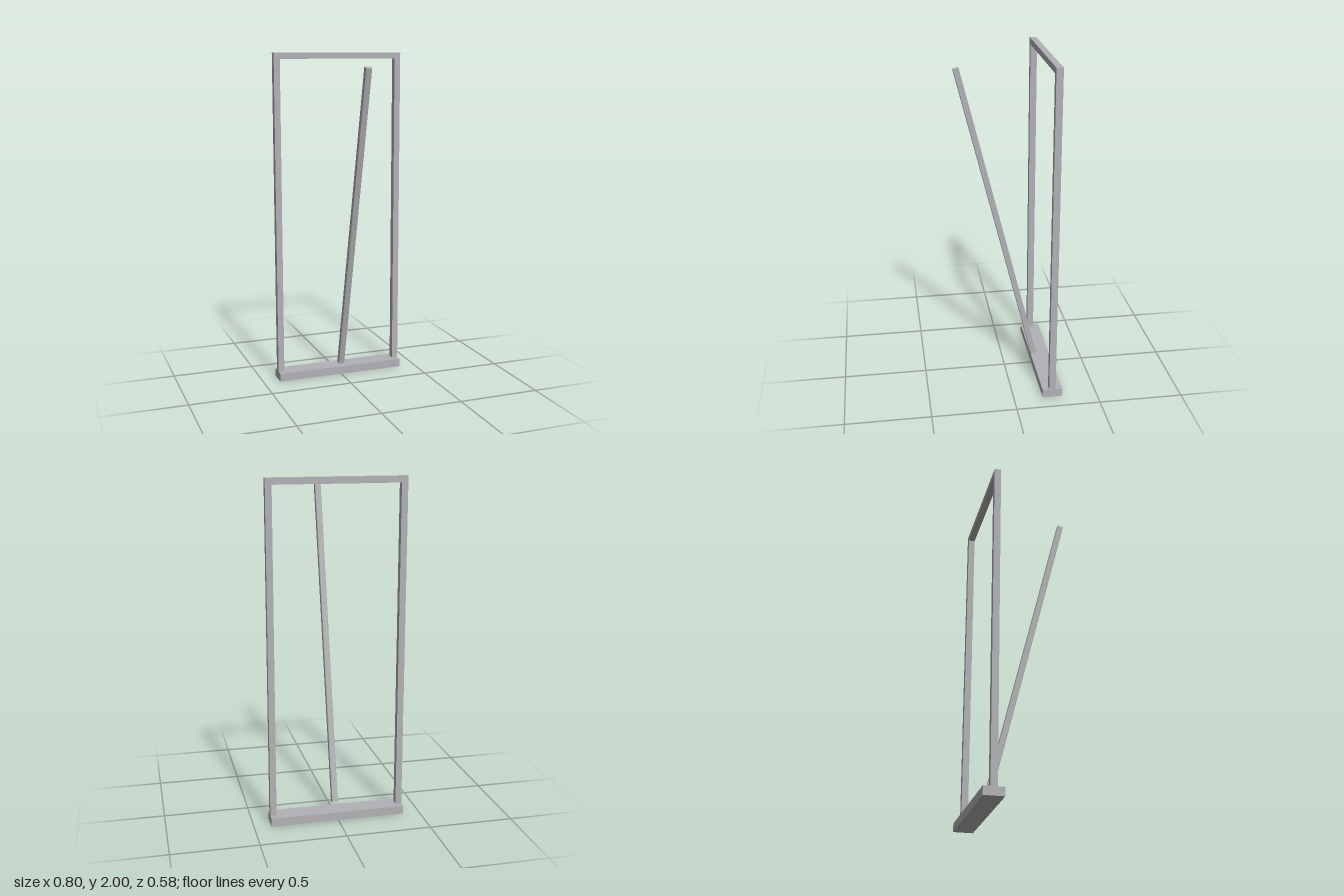
import * as THREE from 'three';

export function createModel() {
  const model = new THREE.Group();
  model.name = 'doorFrame';
  const grey = new THREE.MeshStandardMaterial({ color: 0xb2b2b6 });
  grey.name = 'plainGrey';

  const add = (name, geometry, x, y, z) => {
    const mesh = new THREE.Mesh(geometry, grey);
    mesh.name = name;
    mesh.position.set(x, y, z);
    model.add(mesh);
    return mesh;
  };

  const width = 0.8, bar = 0.037, depth = 0.039, baseHeight = 0.05, frameZ = -0.231;

  // Upright frame: base plank, two posts and a top rail
  add('base', new THREE.BoxGeometry(width, baseHeight, 0.117), 0, baseHeight / 2, frameZ);
  const postHeight = 2 - bar - baseHeight;
  for (const side of [1, -1]) {
    add(side > 0 ? 'leftPost' : 'rightPost', new THREE.BoxGeometry(bar, postHeight, depth),
      side * (width - bar) / 2, baseHeight + postHeight / 2, frameZ);
  }
  add('topRail', new THREE.BoxGeometry(width, bar, depth), 0, 2 - bar / 2, frameZ);

  // Leaning bar: square section with slightly chamfered long edges
  const h = 0.0178, c = 0.0145, length = 1.902;
  const section = new THREE.Shape([
    [h, -c], [h, c], [c, h], [-c, h], [-h, c], [-h, -c], [-c, -h], [c, -h],
  ].map(([x, y]) => new THREE.Vector2(x, y)));
  const barGeometry = new THREE.ExtrudeGeometry(section, { depth: length, bevelEnabled: false });
  barGeometry.translate(0, 0, -length / 2).rotateX(-Math.PI / 2);
  add('leaningBar', barGeometry, 0, 0.997, 0.0435).rotation.x = Math.atan2(0.459, 1.846);

  return model;
}
